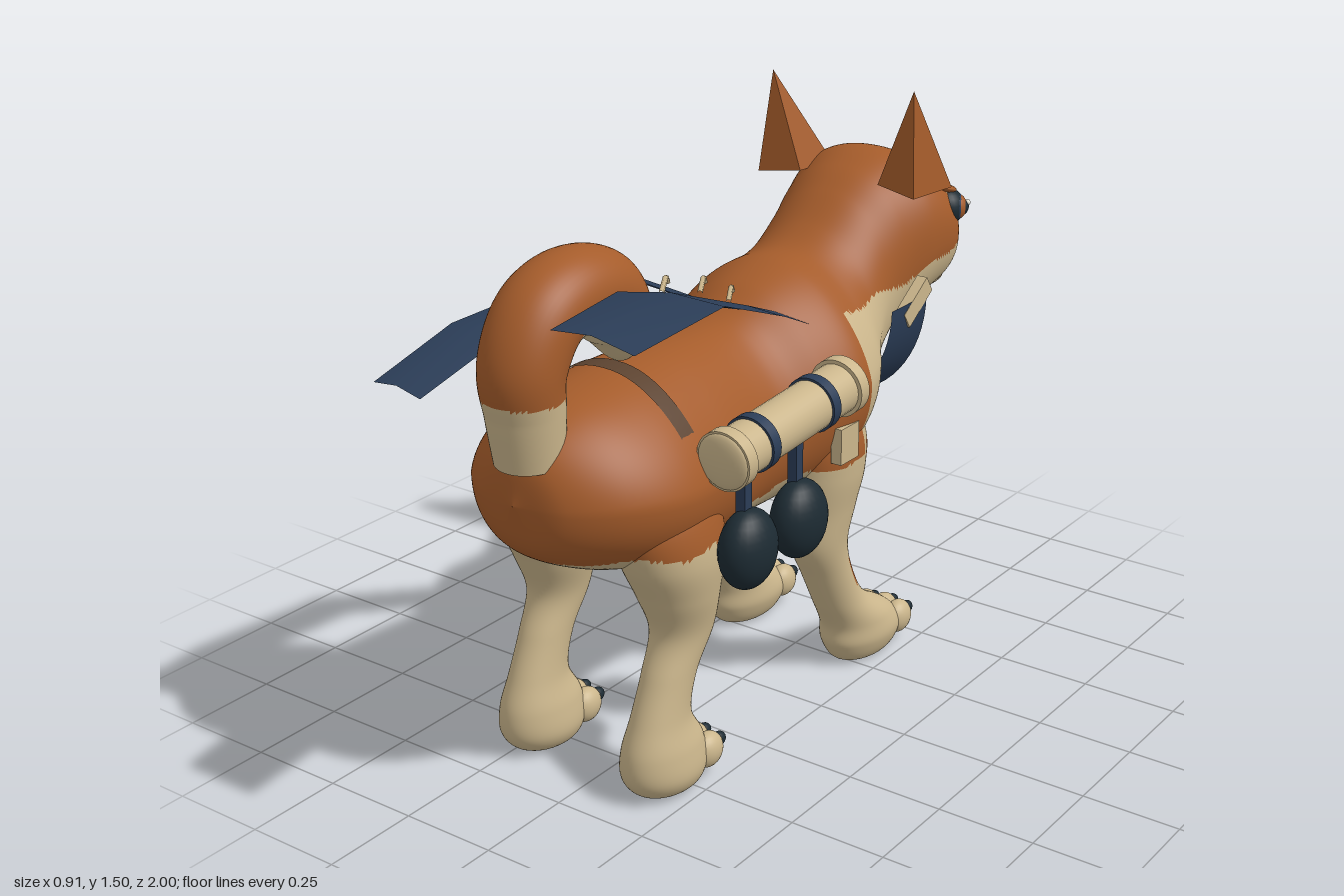
import * as THREE from 'three';
import { ConvexGeometry } from 'three/addons/geometries/ConvexGeometry.js';

const mat = (name, hex, side = THREE.FrontSide) => {
  const m = new THREE.MeshStandardMaterial({ color: hex, side });
  m.name = name;
  return m;
};
const V = (x, y, z) => new THREE.Vector3(x, y, z);

// Closed-ring surface; the rule picks material 0 or 1 for each cell
function loft(nu, nv, fn, rule = () => 0) {
  const pos = [], idx = [[], []], P = [];
  for (let i = 0; i <= nu; i++) for (let j = 0; j < nv; j++) {
    const p = fn(i / nu, (j / nv) * Math.PI * 2);
    P.push(p);
    pos.push(p.x, p.y, p.z);
  }
  let volume = 0;
  for (let i = 0; i < nu; i++) for (let j = 0; j < nv; j++) {
    const a = i * nv + j, b = i * nv + ((j + 1) % nv), c = a + nv, d = b + nv;
    for (const t of [[a, b, c], [b, d, c]]) {
      const [p, q, r] = t.map((k) => P[k]);
      volume += p.dot(q.clone().cross(r));
      const mid = p.clone().add(q).add(r).divideScalar(3);
      idx[rule(mid, (i + 0.5) / nu, ((j + 0.5) / nv) * Math.PI * 2)].push(...t);
    }
  }
  if (volume < 0) idx.forEach((l) => { for (let k = 0; k < l.length; k += 3) [l[k], l[k + 1]] = [l[k + 1], l[k]]; });
  const g = new THREE.BufferGeometry();
  g.setAttribute('position', new THREE.Float32BufferAttribute(pos, 3));
  g.setIndex([...idx[0], ...idx[1]]);
  g.addGroup(0, idx[0].length, 0);
  g.addGroup(idx[0].length, idx[1].length, 1);
  g.computeVertexNormals();
  return g;
}

// Ribbon from pairs of edge points, with its middle raised by arch
function ribbon(pairs, arch = 0) {
  const g = new THREE.BufferGeometry(), idx = [];
  const rows = pairs.map(([a, b]) => [a, a.map((v, k) => (v + b[k]) / 2 + (k === 1 ? arch : 0)), b]);
  g.setAttribute('position', new THREE.Float32BufferAttribute(rows.flat(2), 3));
  for (let i = 0; i < rows.length - 1; i++) for (const k of [3 * i, 3 * i + 1]) idx.push(k, k + 3, k + 1, k + 1, k + 3, k + 4);
  g.setIndex(idx);
  g.computeVertexNormals();
  return g;
}

export function createModel() {
  const fur = mat('orange fur', 0xa55c2b), cream = mat('cream', 0xcbb68c);
  const navy = mat('navy cloth', 0x2b3d57, THREE.DoubleSide), dark = mat('dark leather', 0x1d2b33);
  const pink = mat('inner ear', 0x9c6c62), brown = mat('brown strap', 0x5c4330, THREE.DoubleSide);
  const white = mat('eye glint', 0xe8e2d2);

  const model = new THREE.Group();
  const dog = new THREE.Group();
  dog.name = 'dog';
  dog.position.x = -0.035;
  model.add(dog);
  const add = (name, geo, m, p = [0, 0, 0], r = [0, 0, 0], s = [1, 1, 1]) => {
    const o = new THREE.Mesh(geo, m);
    o.name = name;
    o.position.set(...p); o.rotation.set(...r); o.scale.set(...s);
    dog.add(o);
    return o;
  };
  const ball = new THREE.SphereGeometry(1, 24, 16);

  // Torso, neck and head: z, top, bottom, half width
  const st = [
    [0.83, 0.79, 0.789, 0.0005], [0.8, 0.91, 0.67, 0.13], [0.7, 0.98, 0.6, 0.235], [0.55, 1.01, 0.55, 0.287],
    [0.35, 1.02, 0.52, 0.272], [0.15, 1.015, 0.52, 0.245], [0.05, 1.03, 0.52, 0.25], [-0.05, 1.08, 0.53, 0.285],
    [-0.15, 1.11, 0.55, 0.307], [-0.25, 1.12, 0.58, 0.285], [-0.33, 1.16, 0.64, 0.235], [-0.42, 1.23, 0.71, 0.205],
    [-0.5, 1.28, 0.79, 0.208], [-0.6, 1.31, 0.855, 0.232], [-0.7, 1.28, 0.89, 0.235], [-0.78, 1.2, 0.91, 0.19],
    [-0.85, 1.11, 0.935, 0.14], [-0.91, 1.07, 0.955, 0.1], [-0.95, 1.045, 0.98, 0.05], [-0.96, 1.011, 1.01, 0.0005],
  ];
  const high = new THREE.CatmullRomCurve3(st.map(([z, t]) => V(0, t, z)), false, 'catmullrom');
  const low = new THREE.CatmullRomCurve3(st.map(([z, , b, w]) => V(w, b, z)), false, 'catmullrom');
  // Trunk sections narrow towards the back; the head stays oval
  const bodyPoint = (t, a, kx = 1, ky = 1) => {
    const h = high.getPoint(t), l = low.getPoint(t);
    const sq = (v) => Math.sign(v) * Math.abs(v) ** 0.92;
    const narrow = 1 - 0.25 * THREE.MathUtils.smoothstep(h.z, -0.5, -0.25) * Math.max(0, Math.sin(a));
    return V(kx * narrow * l.x * sq(Math.cos(a)), (h.y + l.y) / 2 + (ky * (h.y - l.y) / 2) * sq(Math.sin(a)), h.z);
  };
  const eyeAt = [0.188, 1.15, -0.712];
  const backIsFur = (p) => p.y > 0.635 + 0.007 * Math.sin(p.z * 30) + 0.005 * Math.sin(p.x * 33);
  const bodyRule = (p) => {
    if (p.z > -0.18) return backIsFur(p) ? 0 : 1;
    if (V(Math.abs(p.x), p.y, p.z).distanceTo(V(0.18, 1.165, -0.755)) < 0.078) return 1;
    return p.y > 1.0 + 0.006 * Math.sin(p.z * 30) + 0.3 * Math.max(0, -0.5 - p.z) ? 0 : 1;
  };
  add('body', loft(220, 112, (u, a) => bodyPoint(u, a), bodyRule), [fur, cream]);

  // Strap over the back and under the belly
  const strapT = (v) => (3.25 + 0.25 * v) / (st.length - 1);
  add('hipStrap', loft(2, 64, (u, a) => bodyPoint(strapT(u), a, 0.99, 1.025)), [brown, brown]);

  // Curled tail with a pale underside
  const path = new THREE.CatmullRomCurve3([[0.88, 0.765], [1.0, 0.775], [1.1, 0.78], [1.2, 0.72], [1.235, 0.62],
    [1.21, 0.51], [1.13, 0.455], [1.02, 0.43]].map(([y, z]) => V(0, y, z)));
  const tailPoint = (u, a) => {
    const c = path.getPoint(u), t = path.getTangent(u);
    const taper = Math.sqrt(Math.max(0.001, Math.min(1, (1 - u) * 8)));
    const w = 0.084 + 0.024 * Math.sin(Math.PI * u), r = 0.08 + 0.022 * Math.sin(Math.PI * u);
    return c.add(V(w * Math.cos(a), -t.z * r * Math.sin(a), t.y * r * Math.sin(a)).multiplyScalar(taper));
  };
  const tailRule = (p, u, a) => (p.y < (p.z > 0.6 ? 1.035 : 1.07) || Math.sin(a) < -0.45 ? 1 : 0);
  add('tail', loft(90, 48, tailPoint, tailRule), [fur, cream]);

  // Legs: y, centre z, half depth, half width, centre x
  const hind = [[0.8, 0.5, 0.12, 0.06, 0.17], [0.7, 0.5, 0.155, 0.1, 0.18], [0.6, 0.49, 0.145, 0.112, 0.185],
    [0.5, 0.475, 0.11, 0.097, 0.188], [0.4, 0.465, 0.085, 0.073, 0.19], [0.3, 0.515, 0.075, 0.062, 0.19],
    [0.2, 0.55, 0.085, 0.065, 0.19], [0.12, 0.545, 0.12, 0.085, 0.19], [0.05, 0.54, 0.122, 0.09, 0.19],
    [0.005, 0.53, 0.085, 0.06, 0.19], [0, 0.53, 0.001, 0.001, 0.19]];
  const front = [[0.85, -0.13, 0.08, 0.06, 0.17], [0.7, -0.14, 0.125, 0.1, 0.185], [0.6, -0.14, 0.12, 0.1, 0.19],
    [0.5, -0.13, 0.1, 0.085, 0.19], [0.4, -0.12, 0.085, 0.072, 0.19], [0.3, -0.16, 0.073, 0.065, 0.19],
    [0.2, -0.22, 0.08, 0.066, 0.19], [0.12, -0.305, 0.12, 0.085, 0.19], [0.06, -0.332, 0.14, 0.09, 0.19],
    [0.005, -0.335, 0.1, 0.06, 0.19], [0, -0.335, 0.001, 0.001, 0.19]];
  for (const s of [-1, 1]) for (const [name, rows, toeZ, patched] of [['hindLeg', hind, 0.437, 0], ['frontLeg', front, -0.436, 1]]) {
    const mid = new THREE.CatmullRomCurve3(rows.map((r) => V(r[4], r[0], r[1])), false, 'catmullrom');
    const rad = new THREE.CatmullRomCurve3(rows.map((r) => V(r[3], 0, r[2])), false, 'catmullrom');
    const point = (u, a) => {
      const c = mid.getPoint(u), r = rad.getPoint(u);
      return V(s * (c.x + r.x * Math.cos(a)), Math.max(0, c.y), c.z - r.z * Math.sin(a));
    };
    const legRule = (p, u, a) => {
      if (p.z > -0.18 && backIsFur(p)) return 0;
      const w = 0.012 * Math.sin(a * 7);
      const upper = p.y > 0.54 + w && p.y < 0.68 + w && a > 0.45 + (0.68 - p.y);
      const lower = p.y > 0.24 - w && p.y < 0.35 + w && a > 0.5;
      return patched && (upper || lower) && a < 1.45 ? 0 : 1;
    };
    add(name, loft(90, 56, point, legRule), [fur, cream]);
    for (const d of [-1, 0, 1]) {
      const x = s * 0.19 + d * 0.053, z = toeZ - (d ? 0 : 0.012);
      add('toe', ball, cream, [x, 0.068, z], [0, 0, 0], [0.034, 0.046, 0.047]);
      add('claw', ball, dark, [x, 0.075, z - 0.044], [0, 0, 0], [0.016, 0.019, 0.024]);
    }
  }

  // Paired face and harness parts
  const gaze = V(0.86, 0.02, -0.51);
  for (const s of [-1, 1]) {
    const ear = [[0.25, 1.23, -0.635], [0.105, 1.25, -0.61], [0.24, 1.235, -0.46], [0.12, 1.25, -0.48], [0.215, 1.505, -0.49]].map(([x, y, z]) => V(s * x, y, z));
    add('ear', new ConvexGeometry(ear), fur);
    const c = ear[0].clone().add(ear[1]).add(ear[4]).divideScalar(3);
    const inner = [ear[0], ear[1], ear[4]].map((p) => p.clone().lerp(c, 0.2).add(V(0, 0.003, -0.004)));
    add('innerEar', new ConvexGeometry([...inner, c.clone().add(V(0, -0.003, 0.005))]), pink);
    for (const [name, m, r, off] of [['eye', dark, 0.052, 0], ['eyeRim', navy, 0.045, 0.01], ['iris', fur, 0.038, 0.021], ['pupil', dark, 0.025, 0.038], ['glint', white, 0.008, 0.059]]) {
      const lift = name === 'glint' ? 0.012 : 0;
      add(name, ball, m, [s * (eyeAt[0] + gaze.x * off), eyeAt[1] + lift, eyeAt[2] + gaze.z * off], [0, 0, 0], [r, r, r]);
    }
    add('brow', ball, fur, [s * 0.19, 1.2, -0.71], [-0.3, s * 0.35, 0], [0.028, 0.011, 0.055]);
    add('bead', ball, cream, [s * 0.11, 0.81, -0.66], [0, 0, 0], [0.04, 0.045, 0.045]);
    add('scarfToggle', new THREE.BoxGeometry(0.03, 0.05, 0.13), cream, [s * 0.25, 0.965, -0.46], [0.6, 0, 0]);
    add('shoulderTag', new THREE.BoxGeometry(0.03, 0.095, 0.08), cream, [s * 0.285, 0.705, -0.09]);
    for (const [y, z, x] of [[1.015, -0.87, 0.118], [1.0, -0.845, 0.14], [1.03, -0.84, 0.143]])
      add('whiskerSpot', ball, dark, [s * x, y, z], [0, 0, 0], [0.006, 0.006, 0.006]);
  }
  add('nose', ball, dark, [0, 1.045, -0.95], [0, 0, 0], [0.076, 0.048, 0.05]);
  add('mouth', ball, dark, [0, 0.962, -0.855], [0, 0, 0], [0.108, 0.016, 0.08]);
  add('jaw', ball, cream, [0, 0.912, -0.822], [0.05, 0, 0], [0.112, 0.045, 0.108]);

  // Neck scarf slung under the throat
  const sling = [];
  for (let i = 0; i <= 32; i++) {
    const a = Math.PI * (1 + i / 32), x = 0.265 * Math.cos(a), h = Math.sin(a);
    sling.push([[x, 0.975 + 0.315 * h, -0.5], [x, 0.975 + 0.29 * h, -0.33]]);
  }
  add('scarf', ribbon(sling), navy);

  // Scarf ends streaming backwards
  add('longScarfEnd', ribbon([
    [[0.03, 1.03, 0.01], [0.195, 1.0, -0.07]], [[0.1, 1.11, 0.22], [0.285, 1.11, 0.18]],
    [[0.175, 1.28, 0.66], [0.44, 1.29, 0.63]], [[0.275, 1.31, 1.0], [0.49, 1.3, 1.0]]], 0.015), navy);
  add('shortScarfEnd', ribbon([
    [[-0.16, 1.0, -0.05], [-0.05, 1.03, 0.03]], [[-0.285, 1.13, 0.19], [-0.145, 1.13, 0.21]],
    [[-0.375, 1.08, 0.6], [-0.225, 1.07, 0.6]], [[-0.42, 0.99, 0.82], [-0.275, 0.98, 0.82]]], 0.012), navy);
  for (const [x, y, z] of [[0.245, 1.19, 0.34], [0.3, 1.27, 0.52], [0.335, 1.325, 0.7]]) {
    const bend = new THREE.CatmullRomCurve3([V(-0.03, 0, -0.05), V(-0.012, 0.022, -0.02), V(0.03, 0.012, 0.05)], false, 'catmullrom', 0.1);
    add('stitch', new THREE.TubeGeometry(bend, 8, 0.006, 6), cream, [x, y, z]);
  }

  // Scroll case with two hanging pouches
  const scroll = new THREE.Group();
  scroll.name = 'scrollCase';
  scroll.position.set(0.322, 0.872, 0.23);
  scroll.rotation.x = Math.PI / 2 + 0.07;
  for (const [name, m, r, h, y] of [['tube', cream, 0.064, 0.46, 0], ['rearCap', cream, 0.074, 0.035, 0.23],
    ['frontCap', cream, 0.074, 0.035, -0.235], ['rearBand', navy, 0.07, 0.03, 0.13], ['frontBand', navy, 0.07, 0.03, -0.12]]) {
    const o = new THREE.Mesh(new THREE.CylinderGeometry(r, r, h, 32), m);
    o.name = name;
    o.position.y = y;
    scroll.add(o);
  }
  const knob = new THREE.Mesh(ball, cream);
  knob.name = 'rearKnob';
  knob.position.y = 0.245;
  knob.scale.set(0.07, 0.018, 0.07);
  scroll.add(knob);
  dog.add(scroll);
  for (const z of [0.4, 0.19]) {
    add('pouch', ball, dark, [0.337, 0.615, z], [0, 0, 0], [0.062, 0.1, 0.088]);
    add('pouchCord', new THREE.BoxGeometry(0.026, 0.12, 0.028), navy, [0.325, 0.75, z]);
  }
  return model;
}
